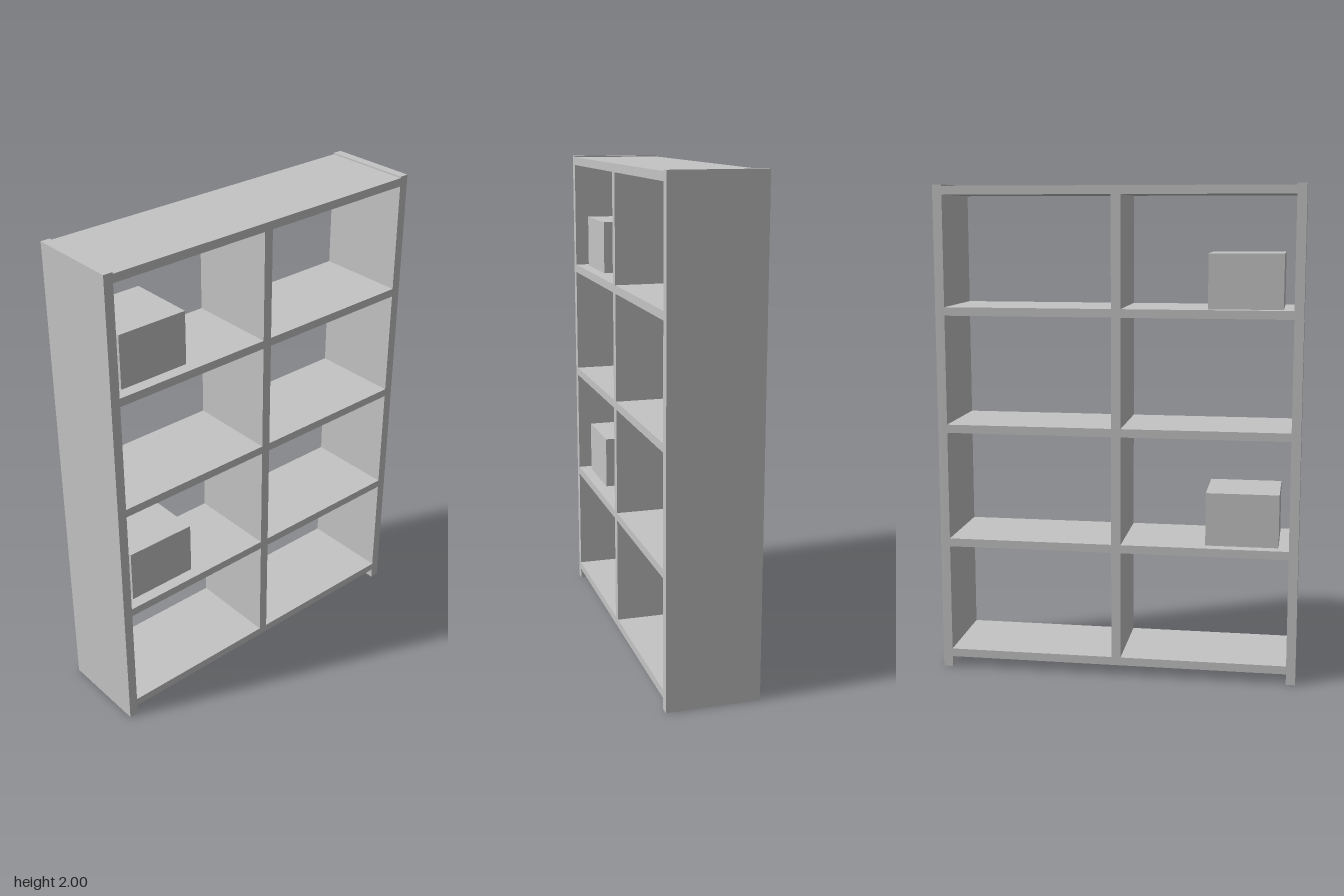
import * as THREE from 'three';

export function createModel() {
  const model = new THREE.Group();
  model.name = 'bookcase';

  const grey = new THREE.MeshStandardMaterial({ color: 0xc4c4c4 });
  grey.name = 'plain grey';

  const halfWidth = 0.736, panel = 0.038, depth = 0.376;
  const shelfThickness = 0.034, firstShelfTop = 0.078, spacing = 0.479;
  const shelfTop = (i) => firstShelfTop + i * spacing;

  // Box standing on height y
  function addBox(name, w, h, d, x, y) {
    const mesh = new THREE.Mesh(new THREE.BoxGeometry(w, h, d), grey);
    mesh.name = name;
    mesh.position.set(x, y + h / 2, 0);
    model.add(mesh);
  }

  // Side panels, reaching the floor
  for (const [name, side] of [['leftPanel', 1], ['rightPanel', -1]]) {
    addBox(name, panel, 2, depth, side * (halfWidth - panel / 2), 0);
  }

  // Five shelves between the panels
  for (let i = 0; i < 5; i++) {
    addBox(`shelf${i + 1}`, 2 * (halfWidth - panel), shelfThickness, depth, 0, shelfTop(i) - shelfThickness);
  }

  // Centre dividers between neighbouring shelves
  for (let i = 0; i < 4; i++) {
    addBox(`divider${i + 1}`, panel, spacing - shelfThickness, depth, 0, shelfTop(i));
  }

  // Storage boxes on the second and fourth shelves
  for (const i of [1, 3]) {
    addBox(i === 1 ? 'lowerStorageBox' : 'upperStorageBox', 0.296, 0.218, 0.28, -0.508, shelfTop(i));
  }

  return model;
}
